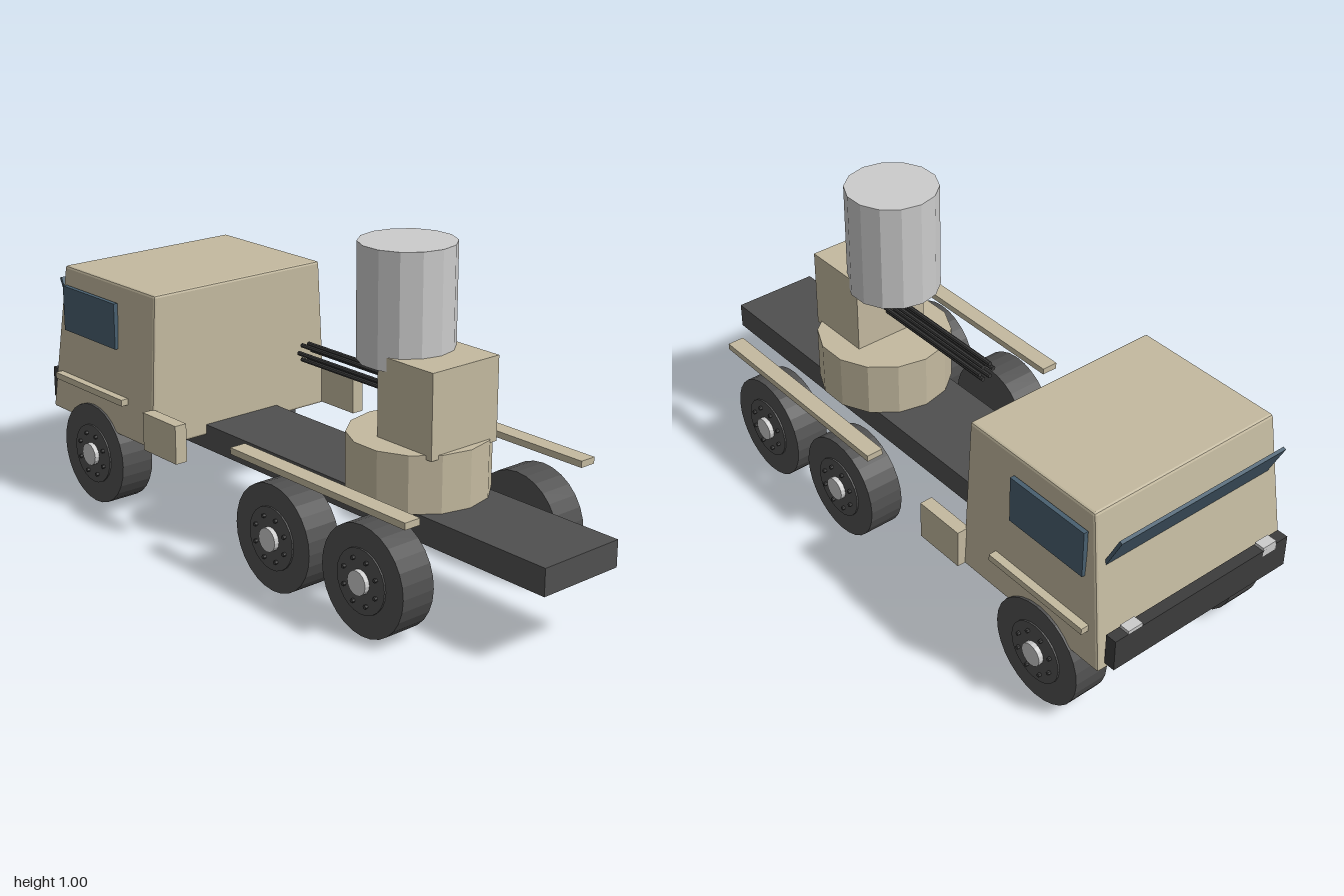
import * as THREE from 'three';
import { RoundedBoxGeometry } from 'three/addons/geometries/RoundedBoxGeometry.js';

const mat = (color) => new THREE.MeshStandardMaterial({ color, flatShading: true });

export function createModel() {
  const model = new THREE.Group();
  const tan = mat(0xc4baa0), dark = mat(0x505050), black = mat(0x3c3c3c);
  const glass = mat(0x496070), grey = mat(0xcccccc);

  const add = (name, geometry, material, parent = model) => {
    const mesh = new THREE.Mesh(geometry, material);
    mesh.name = name;
    parent.add(mesh);
    return mesh;
  };
  // Box given by its min and max on each axis
  const box = (name, material, [x0, x1], [y0, y1], [z0, z1], parent = model) => {
    const mesh = add(name, new THREE.BoxGeometry(x1 - x0, y1 - y0, z1 - z0), material, parent);
    mesh.position.set((x0 + x1) / 2, (y0 + y1) / 2, (z0 + z1) / 2);
    return mesh;
  };

  box('chassis', dark, [-0.14, 0.14], [0.215, 0.295], [-0.88, 1]);

  // Cab: chamfered box, narrowing to the roof, with a raked front
  const h = 0.48, d = 0.55;
  const cabGeo = new RoundedBoxGeometry(0.69, h, d, 1, 0.008);
  const p = cabGeo.attributes.position;
  for (let i = 0; i < p.count; i++) {
    const up = p.getY(i) / h + 0.5;
    const front = 0.5 - p.getZ(i) / d;
    p.setX(i, p.getX(i) * (1 - 0.072 * up));
    p.setZ(i, p.getZ(i) + 0.068 * up * front);
  }
  cabGeo.computeVertexNormals();
  add('cab', cabGeo, tan).position.set(0, 0.5, -0.693);

  // Windscreen panel leaning out from the cab front
  const screen = add('windscreen', new THREE.BoxGeometry(0.59, 0.115, 0.01), glass);
  screen.position.set(0, 0.63, -0.945);
  screen.rotation.x = -0.46;

  box('bumper', black, [-0.32, 0.32], [0.28, 0.38], [-1, -0.965]);

  // Wheel with rim disc, hub and bolts, its outside facing +x
  const makeWheel = (name) => {
    const wheel = new THREE.Group();
    wheel.name = name;
    const disc = (part, r, x0, x1, sides, material) => {
      const g = new THREE.CylinderGeometry(r, r, x1 - x0, sides);
      g.rotateZ(-Math.PI / 2);
      const mesh = add(part, g, material, wheel);
      mesh.position.x = (x0 + x1) / 2;
      return mesh;
    };
    disc('tyre', 0.162, 0.24, 0.35, 28, dark);
    disc('rim', 0.095, 0.34, 0.355, 24, dark);
    disc('hub', 0.036, 0.35, 0.37, 16, grey);
    for (let i = 0; i < 8; i++) {
      const a = (i + 0.5) * Math.PI / 4;
      const bolt = disc('bolt', 0.006, 0.35, 0.364, 6, black);
      bolt.position.y = 0.068 * Math.sin(a);
      bolt.position.z = 0.068 * Math.cos(a);
    }
    return wheel;
  };

  // Parts repeated on both sides
  for (const s of [1, -1]) {
    const side = s > 0 ? 'left' : 'right';
    const span = (a, b) => (s > 0 ? [a, b] : [-b, -a]);
    box(side + 'SideWindow', glass, span(0.327, 0.341), [0.535, 0.68], [-0.887, -0.605]);
    box(side + 'FrontFender', tan, span(0.32, 0.363), [0.37, 0.39], [-0.918, -0.55]);
    box(side + 'RearFender', tan, span(0.31, 0.363), [0.37, 0.39], [-0.007, 0.718]);
    box(side + 'SideTank', tan, span(0.33, 0.37), [0.265, 0.385], [-0.427, -0.262]);
    box(side + 'Headlight', grey, span(0.225, 0.275), [0.36, 0.39], [-1, -0.968]);
    for (const [place, z] of [['Front', -0.735], ['Middle', 0.162], ['Rear', 0.54]]) {
      const wheel = makeWheel(side + place + 'Wheel');
      wheel.position.set(0, 0.162, z);
      wheel.rotation.y = s > 0 ? 0 : Math.PI;
      model.add(wheel);
    }
  }

  // Turret: turntable, mount, radar drum and a ring of barrels
  const turret = new THREE.Group();
  turret.name = 'turret';
  model.add(turret);
  add('turntable', new THREE.CylinderGeometry(0.207, 0.207, 0.17, 14), tan, turret)
    .position.set(0, 0.38, 0.387);
  box('gunMount', tan, [-0.125, 0.125], [0.453, 0.702], [0.35, 0.566], turret);
  add('radarDrum', new THREE.CylinderGeometry(0.14, 0.14, 0.337, 14), grey, turret)
    .position.set(0, 0.8305, 0.33);
  const barrelGeo = new THREE.CylinderGeometry(0.007, 0.007, 0.475, 8);
  barrelGeo.rotateX(Math.PI / 2);
  for (let i = 0; i < 6; i++) {
    const a = i * Math.PI / 3;
    add('barrel', barrelGeo, black, turret)
      .position.set(0.025 * Math.cos(a), 0.578 + 0.025 * Math.sin(a), 0.1325);
  }
  return model;
}
